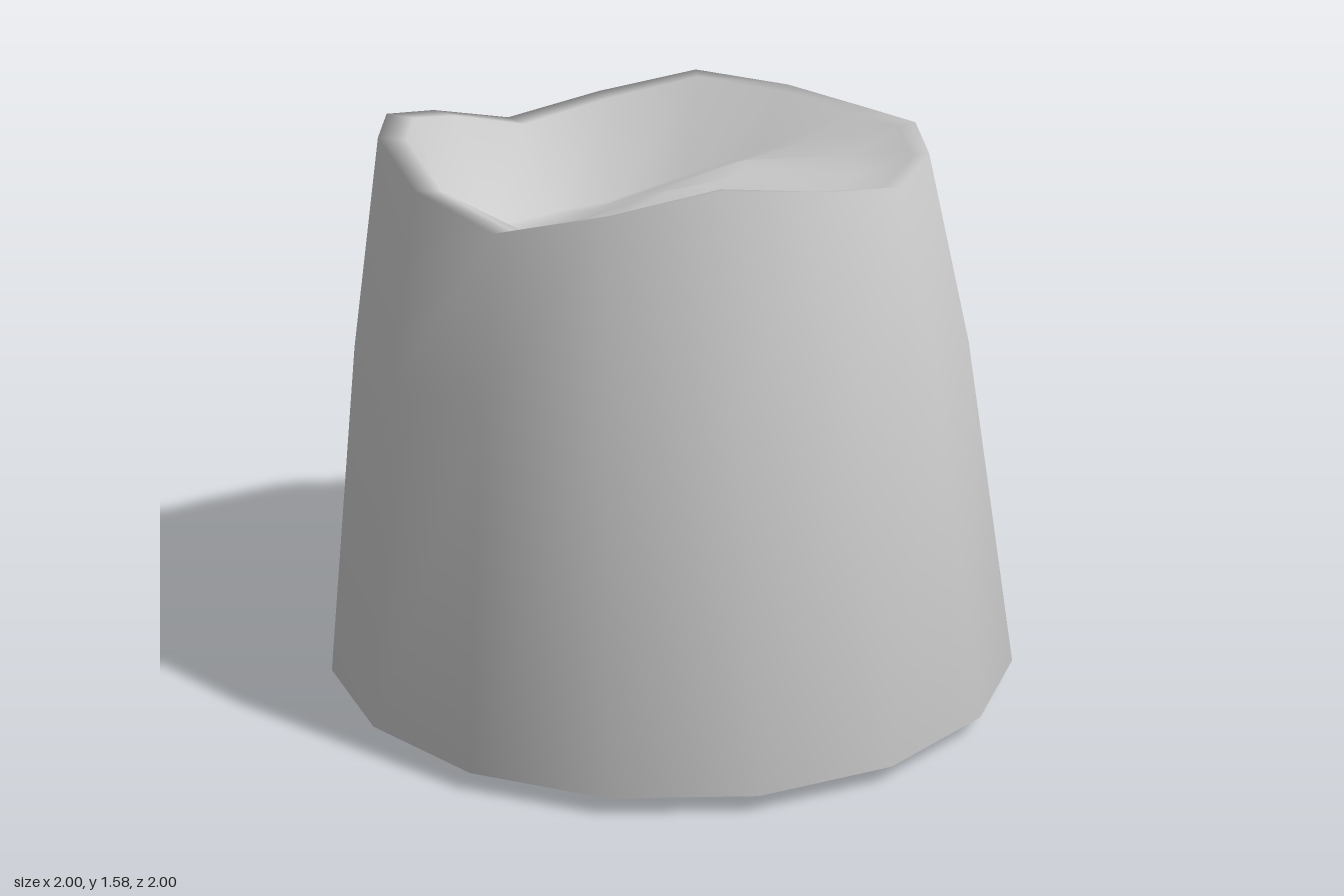
import * as THREE from 'three';

const SIDES = 16;

// Uneven rim heights, running from the left side (+x) towards the front (+z)
const RIM_HEIGHTS = [
  1.53, 1.545, 1.525, 1.5, 1.54, 1.575, 1.51, 1.44,
  1.5, 1.58, 1.58, 1.53, 1.46, 1.515, 1.58, 1.555,
];

// Ring of points, with the height given as a function of index, x and z
function ring(r, z0, height) {
  return Array.from({ length: SIDES }, (_, i) => {
    const a = (i / SIDES) * Math.PI * 2;
    const x = r * Math.cos(a), z = z0 + r * Math.sin(a);
    return [x, height(i, x, z), z];
  });
}

// Hollow floor, sloping down towards the back right
const floorHeight = (i, x, z) =>
  THREE.MathUtils.clamp(1.37 + 0.38 * (z + 0.12) + 0.16 * x, 1.2, 1.46);

// Smooth closed skin through the rings, capped by a centre point at each end
function skin(rings, start, end) {
  const pos = [...start, ...rings.flat(2), ...end];
  const last = rings.length * SIDES + 1;
  const at = (j, i) => 1 + j * SIDES + (i % SIDES);
  const index = [];
  for (let i = 0; i < SIDES; i++) {
    index.push(0, at(0, i), at(0, i + 1));
    for (let j = 0; j < rings.length - 1; j++) {
      const a = at(j, i), b = at(j, i + 1), c = at(j + 1, i), d = at(j + 1, i + 1);
      index.push(a, c, b, b, c, d);
    }
    index.push(last, at(rings.length - 1, i + 1), at(rings.length - 1, i));
  }
  const g = new THREE.BufferGeometry();
  g.setAttribute('position', new THREE.Float32BufferAttribute(pos, 3));
  g.setIndex(index);
  g.computeVertexNormals();
  return g;
}

export function createModel() {
  const group = new THREE.Group();
  group.name = 'hollowStump';

  const rings = [
    // Slightly domed underside and widest edge
    ring(0.82, 0, () => 0.02),
    ring(1, 0, () => 0.05),
    // Tapered wall leaning back
    ring(0.87, -0.05, () => 1),
    // Uneven rim
    ring(0.765, -0.085, (i) => RIM_HEIGHTS[i]),
    ring(0.7, -0.06, (i) => RIM_HEIGHTS[i] - 0.005),
    // Sunken top
    ring(0.57, -0.08, floorHeight),
    ring(0.28, -0.11, floorHeight),
  ];
  const body = new THREE.Mesh(
    skin(rings, [0, 0, 0], [0, 1.37, -0.12]),
    new THREE.MeshStandardMaterial({ color: 0xcccccc }));
  body.name = 'body';
  group.add(body);
  return group;
}
